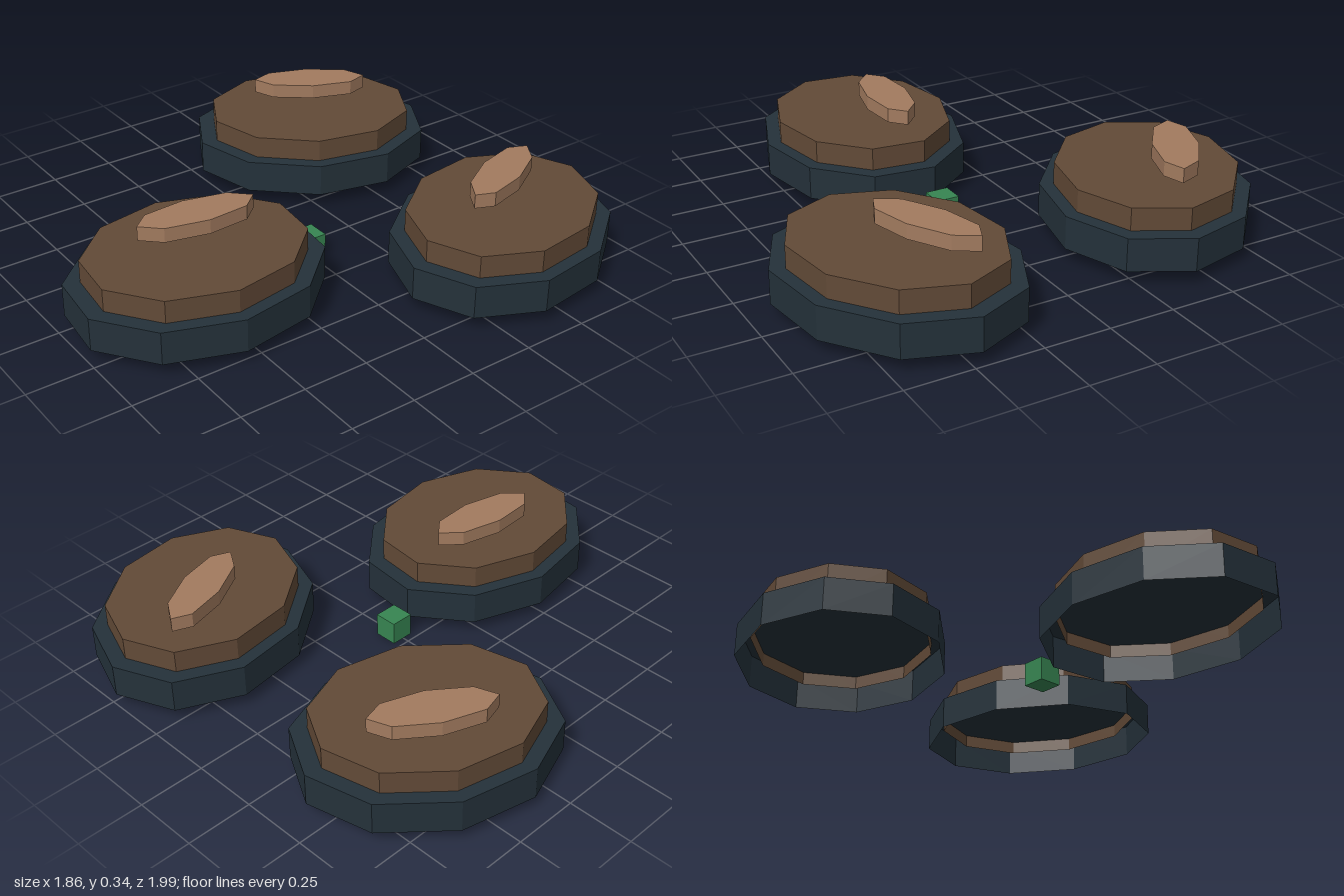
import * as THREE from 'three';

const mat = (name, color, side = THREE.FrontSide) => {
  const m = new THREE.MeshStandardMaterial({ color, side, flatShading: true });
  m.name = name;
  return m;
};

// Open-bottomed faceted cap: an oval ring of n points with walls and a flat top.
// a and b are the [x, z] half-axes that the oval sweeps between.
function ovalCap(n, a, b, scale, y0, y1) {
  const ring = i => {
    const t = (i / n) * Math.PI * 2, c = Math.cos(t) * scale, s = Math.sin(t) * scale;
    return [a[0] * c + b[0] * s, a[1] * c + b[1] * s];
  };
  const pos = [];
  for (let i = 0; i < n; i++) {
    const [x, z] = ring(i), [u, w] = ring(i + 1);
    pos.push(u, y0, w, x, y0, z, x, y1, z); // wall
    pos.push(u, y0, w, x, y1, z, u, y1, w);
    pos.push(0, y1, 0, u, y1, w, x, y1, z); // top
  }
  const geo = new THREE.BufferGeometry();
  geo.setAttribute('position', new THREE.Float32BufferAttribute(pos, 3));
  geo.computeVertexNormals();
  return geo;
}

export function createModel() {
  const model = new THREE.Group();
  model.name = 'ovalStones';
  const slate = mat('dark slate', 0x24313a, THREE.DoubleSide);
  const brown = mat('brown', 0x624a37, THREE.DoubleSide);
  const tan = mat('light tan', 0xa27b5f, THREE.DoubleSide);
  const green = mat('green', 0x378552);

  // centre and half-axes of each stone, then of its raised highlight
  const stones = [
    { name: 'backRightStone', c: [-0.529, -0.444], a: [0.108, -0.455], b: [0.389, 0.05],
      hc: [-0.611, -0.503], ha: [0.111, -0.196], hb: [0.077, 0.037] },
    { name: 'backLeftStone', c: [0.534, -0.537], a: [-0.061, -0.463], b: [0.392, -0.005],
      hc: [0.455, -0.598], ha: [-0.088, -0.208], hb: [0.079, -0.015] },
    { name: 'frontStone', c: [0.143, 0.528], a: [-0.077, -0.464], b: [0.378, -0.106],
      hc: [0.061, 0.471], ha: [0.021, -0.225], hb: [0.085, -0.005] },
  ];

  for (const s of stones) {
    const stone = new THREE.Group();
    stone.name = s.name;
    const add = (name, geo, material, [x, z]) => {
      const m = new THREE.Mesh(geo, material);
      m.name = name;
      m.position.set(x, 0, z);
      stone.add(m);
    };
    add('rim', ovalCap(10, s.a, s.b, 1, 0.05, 0.175), slate, s.c);
    add('body', ovalCap(10, s.a, s.b, 0.865, 0.125, 0.26), brown, s.c);
    add('highlight', ovalCap(8, s.ha, s.hb, 1, 0.283, 0.338), tan, s.hc);
    model.add(stone);
  }

  // small cube between the stones
  const cube = new THREE.Mesh(new THREE.BoxGeometry(0.09, 0.09, 0.09), green);
  cube.name = 'centreCube';
  cube.position.set(0.072, 0.045, -0.004);
  model.add(cube);

  return model;
}
